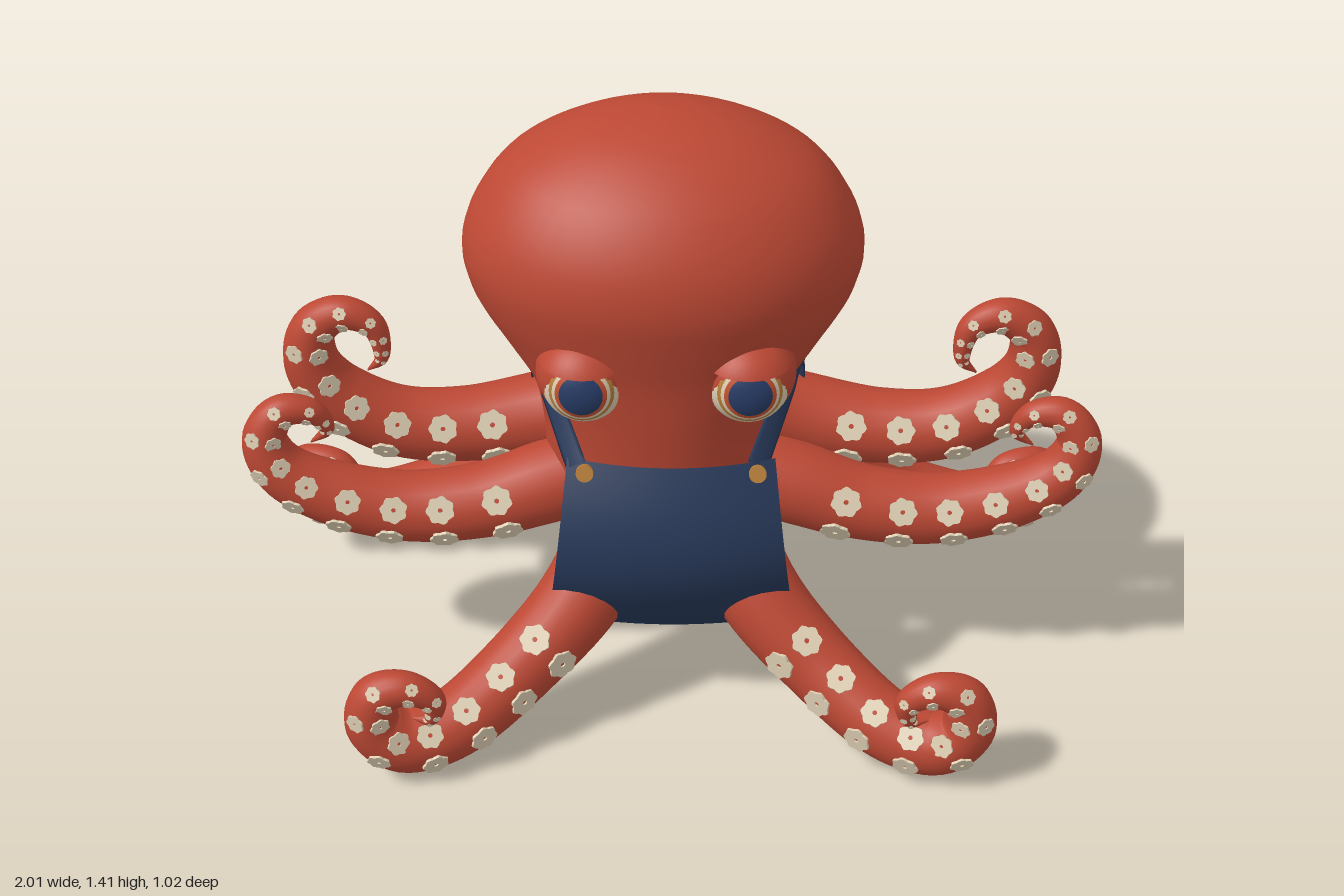
import * as THREE from 'three';
import { mergeGeometries } from 'three/addons/utils/BufferGeometryUtils.js';

const V = (x, y, z) => new THREE.Vector3(x, y, z);
const material = (name, color, side = THREE.FrontSide) => {
  const m = new THREE.MeshStandardMaterial({ color, side });
  m.name = name;
  return m;
};
const spline = pts => new THREE.CatmullRomCurve3(pts, false, 'catmullrom');

// Skin a list of equal rings of points with smooth quads
function loft(rings) {
  const m = rings[0].length, pos = [], index = [];
  rings.forEach(ring => ring.forEach(p => pos.push(p.x, p.y, p.z)));
  for (let i = 0; i < rings.length - 1; i++) {
    for (let j = 0; j < m; j++) {
      const a = i * m + j, b = i * m + (j + 1) % m;
      index.push(a, b, a + m, b, b + m, a + m);
    }
  }
  const g = new THREE.BufferGeometry();
  g.setAttribute('position', new THREE.Float32BufferAttribute(pos, 3));
  g.setIndex(index);
  g.computeVertexNormals();
  return g;
}

// Point, tangent, outward and sideways axes, and radius at t on a path
function frameAt(curve, radii, refAt, t) {
  const p = curve.getPoint(t), T = curve.getTangent(t);
  const N = refAt(p).clone().addScaledVector(T, -refAt(p).dot(T)).normalize();
  const B = T.clone().cross(N);
  const f = t * (radii.length - 1), i = Math.min(Math.floor(f), radii.length - 2);
  return { p, T, N, B, r: THREE.MathUtils.lerp(radii[i], radii[i + 1], f - i) };
}

// Sweep an ellipse along a path; thin flattens it into a strap
function sweep(curve, radii, refAt, steps, sides, thin = 1) {
  const rings = [];
  for (let i = 0; i <= steps; i++) {
    const { p, N, B, r } = frameAt(curve, radii, refAt, i / steps);
    rings.push(Array.from({ length: sides }, (_, j) => {
      const a = j / sides * Math.PI * 2;
      return p.clone().addScaledVector(N, r * thin * Math.cos(a)).addScaledVector(B, r * Math.sin(a));
    }));
  }
  return loft(rings);
}

// Head and body rows: y, half width, front z, back z
const BODY = [
  [0.318, 0.0, -0.09, -0.09], [0.32, 0.17, 0.05, -0.23], [0.4, 0.24, 0.12, -0.29], [0.5, 0.275, 0.165, -0.32],
  [0.6, 0.28, 0.175, -0.345], [0.7, 0.285, 0.18, -0.36], [0.8, 0.31, 0.185, -0.39], [0.9, 0.375, 0.19, -0.44],
  [1.0, 0.435, 0.205, -0.475], [1.1, 0.455, 0.215, -0.49], [1.2, 0.425, 0.19, -0.47], [1.3, 0.35, 0.12, -0.41],
  [1.37, 0.23, 0.02, -0.32], [1.405, 0.11, -0.08, -0.24], [1.415, 0.0, -0.17, -0.17]];

function bodyGeometry() {
  const widths = spline(BODY.map(r => V(r[1], r[0], 0)));
  const depths = spline(BODY.map(r => V(r[2], r[0], r[3])));
  const rings = [];
  for (let i = 0; i <= 56; i++) {
    const w = widths.getPoint(i / 56), d = depths.getPoint(i / 56);
    const rz = (d.x - d.z) / 2, cz = (d.x + d.z) / 2;
    rings.push(Array.from({ length: 48 }, (_, j) => {
      const a = j / 48 * Math.PI * 2;
      return V(Math.sin(a) * w.x, w.y, cz + Math.cos(a) * rz);
    }));
  }
  return loft(rings);
}

// Arm paths for one side, each with its sucker direction
const ARMS = [
  { name: 'frontArm', ref: V(0, 0.2, 1), path: [[.12, .46, .07], [.21, .31, .175], [.345, .185, .27], [.49, .1, .375], [.61, .085, .43],
    [.68, .15, .45], [.67, .24, .455], [.6, .27, .46], [.54, .23, .455], [.55, .17, .45], [.59, .17, .45]] },
  { name: 'lowerMiddleArm', ref: V(0, 0, 1), path: [[.15, .55, -.03], [.3, .51, 0], [.45, .47, .02], [.62, .46, .03], [.78, .5, .04],
    [.9, .57, .045], [.94, .66, .04], [.9, .73, .03], [.83, .725, .02], [.8, .67, .01], [.84, .63, .01]] },
  { name: 'upperMiddleArm', ref: V(0, 0, 1), path: [[.15, .66, -.12], [.3, .62, -.13], [.48, .6, -.11], [.64, .62, -.09], [.77, .7, -.075],
    [.83, .8, -.065], [.82, .9, -.06], [.75, .95, -.05], [.68, .92, -.045], [.665, .84, -.04], [.7, .8, -.04]] },
  { name: 'backArm', ref: V(0, 0, 1), path: [[.15, .49, -.2], [.3, .41, -.3], [.45, .28, -.375], [.6, .175, -.415], [.77, .13, -.415],
    [.9, .17, -.385], [.95, .26, -.35], [.91, .34, -.31], [.83, .345, -.29], [.79, .29, -.28], [.82, .25, -.28]] }];
const ARM_RADII = [0.105, 0.1, 0.09, 0.085, 0.078, 0.066, 0.053, 0.041, 0.03, 0.018, 0.002];

// Scalloped ring with a small open centre, unit radius
function suckerGeometry() {
  const shape = new THREE.Shape();
  for (let i = 0; i <= 28; i++) {
    const a = i / 28 * Math.PI * 2, r = 0.94 + 0.08 * Math.cos(a * 7);
    shape[i ? 'lineTo' : 'moveTo'](r * Math.cos(a), r * Math.sin(a));
  }
  const hole = new THREE.Path();
  hole.absarc(0, 0, 0.17, 0, Math.PI * 2, true);
  shape.holes.push(hole);
  return new THREE.ExtrudeGeometry(shape, { depth: 0.2, bevelEnabled: false, curveSegments: 5 });
}

// Two rows of suckers, shrinking toward the tip
function suckersAlong(curve, refAt, base) {
  const parts = [];
  for (let t = 0.17; t < 0.95;) {
    const { p, T, N, B, r } = frameAt(curve, ARM_RADII, refAt, t);
    for (const phi of [-0.5, 0.5]) {
      const n = N.clone().multiplyScalar(Math.cos(phi)).addScaledVector(B, Math.sin(phi));
      const s = r * 0.39;
      const m = new THREE.Matrix4().makeBasis(T, n.clone().cross(T), n).scale(V(s, s, s));
      m.setPosition(p.clone().addScaledVector(n, r * 0.965));
      parts.push(base.clone().applyMatrix4(m));
    }
    const speed = curve.getPoint(t + 0.01).distanceTo(p) / 0.01;
    t += 1.4 * r / speed;
  }
  return mergeGeometries(parts);
}

const apronZ = (u, v) => 0.2 + 0.09 * Math.sin(Math.PI * v) - 0.04 * u * u;

export function createModel() {
  const model = new THREE.Group();
  const skin = material('red skin', 0xbc4834);
  const cloth = material('navy cloth', 0x273858, THREE.DoubleSide);
  const cream = material('cream', 0xdccdb2);
  const gold = material('gold', 0xb87f3a);
  const iris = material('orange red iris', 0xc4512f);
  const pupilBlue = material('blue pupil', 0x283c66);
  const add = (parent, name, geometry, mat) => {
    const mesh = new THREE.Mesh(geometry, mat);
    mesh.name = name;
    parent.add(mesh);
    return mesh;
  };

  add(model, 'body', bodyGeometry(), skin).position.x = -0.02;

  // Arms with suckers, both sides
  const sucker = suckerGeometry();
  for (const side of [1, -1]) {
    for (const { name, ref, path } of ARMS) {
      const arm = new THREE.Group();
      arm.name = (side > 0 ? 'left ' : 'right ') + name;
      const curve = spline(path.map(([x, y, z]) => V(x * side, y, z)));
      const refAt = () => ref;
      add(arm, 'arm', sweep(curve, ARM_RADII, refAt, 80, 20), skin);
      add(arm, 'suckers', suckersAlong(curve, refAt, sucker), cream);
      model.add(arm);
    }
  }

  // Eyes: socket, flattened eyeball, coloured caps and heavy upper lid
  for (const side of [1, -1]) {
    const eye = new THREE.Group();
    eye.name = side > 0 ? 'leftEye' : 'rightEye';
    eye.position.set(side * 0.181 - 0.012, 0.9, 0.1);
    eye.rotation.y = side * 0.05;
    add(eye, 'socket', new THREE.SphereGeometry(0.11, 32, 20), skin);
    const ball = new THREE.Group();
    ball.name = 'eyeball';
    ball.position.set(0, -0.008, 0.03);
    ball.scale.z = 0.9;
    eye.add(ball);
    add(ball, 'eyeWhite', new THREE.SphereGeometry(0.095, 32, 20), cream);
    [['goldRing', 0.0958, 0.86, gold], ['innerRing', 0.0966, 0.74, cream],
      ['iris', 0.0974, 0.64, iris], ['pupil', 0.0982, 0.52, pupilBlue]].forEach(([name, r, angle, mat]) => {
      const cap = add(ball, name, new THREE.SphereGeometry(r, 32, 8, 0, Math.PI * 2, 0, angle), mat);
      cap.rotation.x = Math.PI / 2 - 0.12;
    });
    add(ball, 'upperLid', new THREE.SphereGeometry(0.112, 32, 12, 0, Math.PI * 2, 0, 1.04), skin);
    model.add(eye);
  }

  // Apron bib, bulging forward and narrowing upward
  const bib = new THREE.PlaneGeometry(2, 1, 20, 16);
  const at = bib.attributes.position;
  for (let i = 0; i < at.count; i++) {
    const u = at.getX(i), v = at.getY(i) + 0.5;
    at.setXYZ(i, u * (0.29 - 0.055 * v), 0.24 + 0.46 * v, apronZ(u, v));
  }
  bib.computeVertexNormals();
  add(model, 'apron', bib, cloth);

  // Belt lies flat against the body, higher at the back
  const outward = p => V(p.x, 0, p.z + 0.09).normalize();
  const beltPoints = Array.from({ length: 33 }, (_, i) => {
    const a = i / 32 * Math.PI * 2;
    return V(Math.sin(a) * 0.287 - 0.02, 0.517 - 0.013 * Math.cos(a), -0.09 + Math.cos(a) * 0.26);
  });
  add(model, 'belt', sweep(spline(beltPoints), [0.02, 0.02], outward, 64, 8, 0.3), cloth);

  // Shoulder straps face forward in front, pass over the arms and meet the belt
  const strapFacing = p => V(p.x * 0.3, 0, p.z + 0.09).normalize();
  for (const side of [1, -1]) {
    const path = [[.205, .69, .175], [.245, .77, .1], [.285, .84, .025], [.312, .845, -.05],
      [.31, .75, -.14], [.285, .62, -.205], [.26, .52, -.235]];
    const curve = spline(path.map(([x, y, z]) => V(x * side - 0.01, y, z)));
    add(model, 'strap', sweep(curve, [0.028, 0.028], strapFacing, 40, 8, 0.13), cloth);

    const button = add(model, 'button', new THREE.CylinderGeometry(0.02, 0.02, 0.014, 20), gold);
    button.position.set(side * 0.195, 0.68, apronZ(0.8, 0.957) + 0.006);
    button.rotation.x = Math.PI / 2 - 0.4;
  }
  return model;
}
